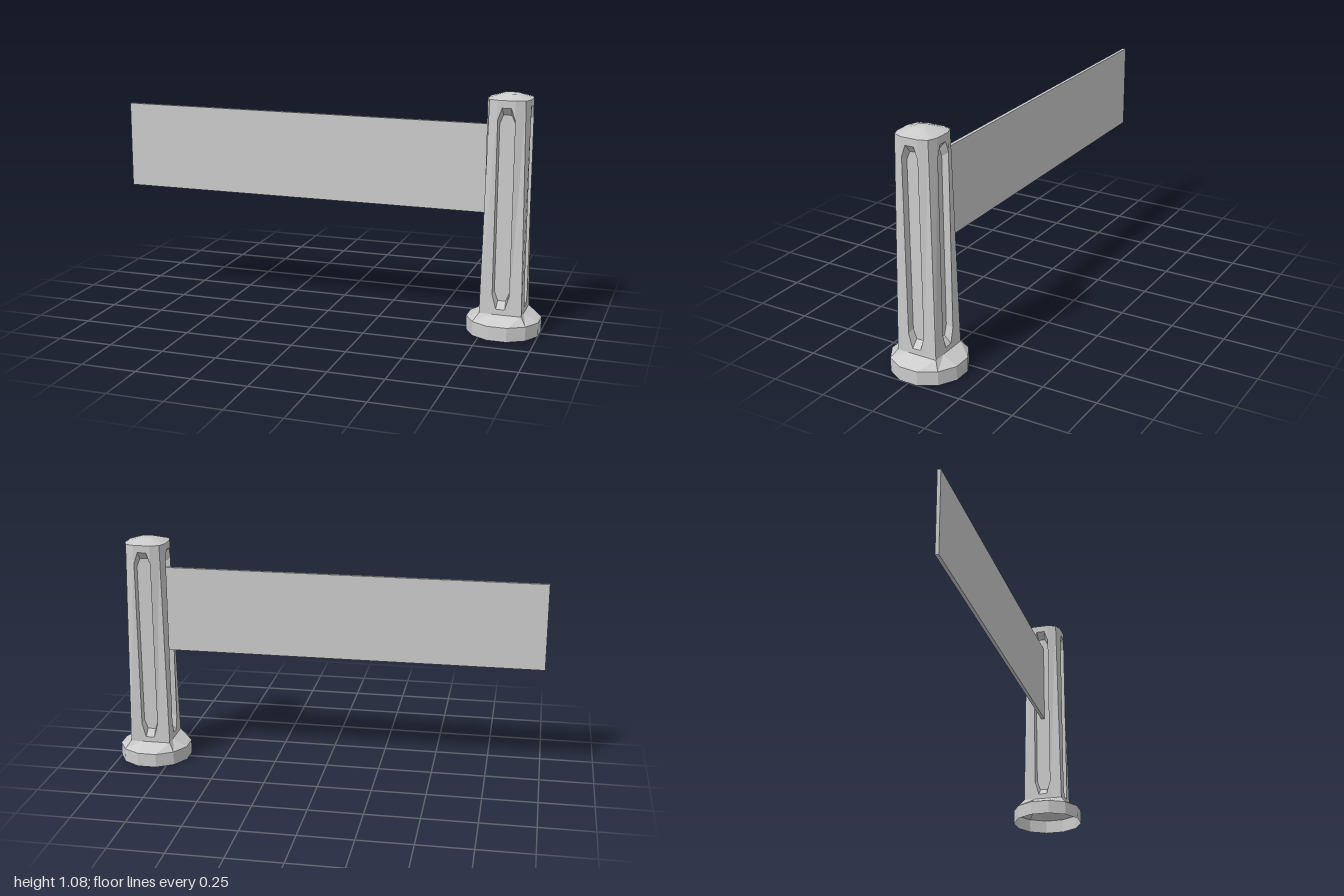
import * as THREE from 'three';
import { mergeGeometries } from 'three/addons/utils/BufferGeometryUtils.js';

const material = new THREE.MeshStandardMaterial({ color: 0xcccccc, side: THREE.DoubleSide });
const H = 0.095;      // half width of the post
const W = 0.038;      // half width of a slot
const CORNER = 0.079; // pulled-in corner at the top of the post
const POST_X = 0.837;

// Flat-shaded faces from convex polygons of [x, y, z] corners
function faces(polygons) {
  const p = [];
  for (const poly of polygons)
    for (let i = 1; i < poly.length - 1; i++) p.push(...poly[0], ...poly[i], ...poly[i + 1]);
  const g = new THREE.BufferGeometry();
  g.setAttribute('position', new THREE.Float32BufferAttribute(p, 3));
  g.computeVertexNormals();
  return g;
}

// Twelve-point ring: each side has two slot edges and one corner
function ring(y, half, slot, corner) {
  const pts = [];
  for (let k = 0; k < 4; k++) {
    const c = Math.round(Math.cos(k * Math.PI / 2)), s = Math.round(Math.sin(k * Math.PI / 2));
    for (const [u, v] of [[half, -slot], [half, slot], [corner, corner]])
      pts.push([u * c - v * s, y, -(u * s + v * c)]);
  }
  return pts;
}

function loft(rings) {
  const polys = [];
  for (let r = 0; r < rings.length - 1; r++)
    for (let i = 0; i < 12; i++) {
      const j = (i + 1) % 12;
      polys.push([rings[r][i], rings[r][j], rings[r + 1][j], rings[r + 1][i]]);
    }
  return faces(polys);
}

// Repeat one side of the post around the y axis
function fourSides(side) {
  return mergeGeometries([0, 1, 2, 3].map(k => side.clone().rotateY(k * Math.PI / 2)));
}

// Slot outline, counter-clockwise seen from outside
function slotOutline(w, tip, y0, y1, y2, y3, z) {
  return [[-tip, y0, z], [tip, y0, z], [w, y1, z], [w, y2, z], [tip, y3, z], [-tip, y3, z], [-w, y2, z], [-w, y1, z]];
}

export function createModel() {
  const model = new THREE.Group();
  const post = new THREE.Group();
  post.name = 'post';
  post.position.x = POST_X;
  model.add(post);
  const add = (parent, name, geometry) => {
    const mesh = new THREE.Mesh(geometry, material);
    mesh.name = name;
    parent.add(mesh);
    return mesh;
  };

  // Hollow twelve-sided foot that slopes up to the square post
  const foot = y => ring(y, 0.163, 0.0437, 0.1193);
  add(post, 'foot', loft([foot(0), foot(0.065), ring(0.1, H, W, H)]));

  // Post walls beside, above and below each slot
  const y0 = 0.1, y1 = 1.06;
  const outer = slotOutline(W, 0.02, 0.125, 0.19, 0.975, 1.027, H);
  const inner = slotOutline(0.034, 0.018, 0.157, 0.2, 0.955, 0.993, H - 0.03);
  const [a, b, c, d, e, f, g, h] = outer;
  add(post, 'postWalls', fourSides(faces([
    [[W, y0, H], [H, y0, H], [CORNER, y1, CORNER], [W, y1, H]],
    [[-H, y0, H], [-W, y0, H], [-W, y1, H], [-CORNER, y1, CORNER]],
    [[-W, y0, H], [W, y0, H], b, a], [[W, y0, H], c, b], [[-W, y0, H], a, h],
    [f, e, [W, y1, H], [-W, y1, H]], [e, d, [W, y1, H]], [g, f, [-W, y1, H]],
  ])));

  // Recessed slots with bevelled walls
  const walls = outer.map((p, i) => {
    const j = (i + 1) % 8;
    return [p, outer[j], inner[j], inner[i]];
  });
  add(post, 'slots', fourSides(faces([...walls, inner])));

  // Softly shaded domed cap
  const rings = [ring(y1, H, W, CORNER), ring(1.08, 0.035, 0.014, 0.029)];
  const cap = new THREE.BufferGeometry();
  cap.setAttribute('position', new THREE.Float32BufferAttribute([...rings.flat(2), 0, 1.081, 0], 3));
  const index = [];
  for (let i = 0; i < 12; i++) {
    const j = (i + 1) % 12;
    index.push(i, j, 12 + j, i, 12 + j, 12 + i, 12 + i, 12 + j, 24);
  }
  cap.setIndex(index);
  cap.computeVertexNormals();
  add(post, 'cap', cap);

  // Thin barrier panel running out of the slot
  const right = POST_X - H + 0.03;
  const panel = add(model, 'barrierPanel', new THREE.BoxGeometry(right + 1, 0.4, 0.016));
  panel.position.set((right - 1) / 2, 0.74, 0);

  return model;
}
